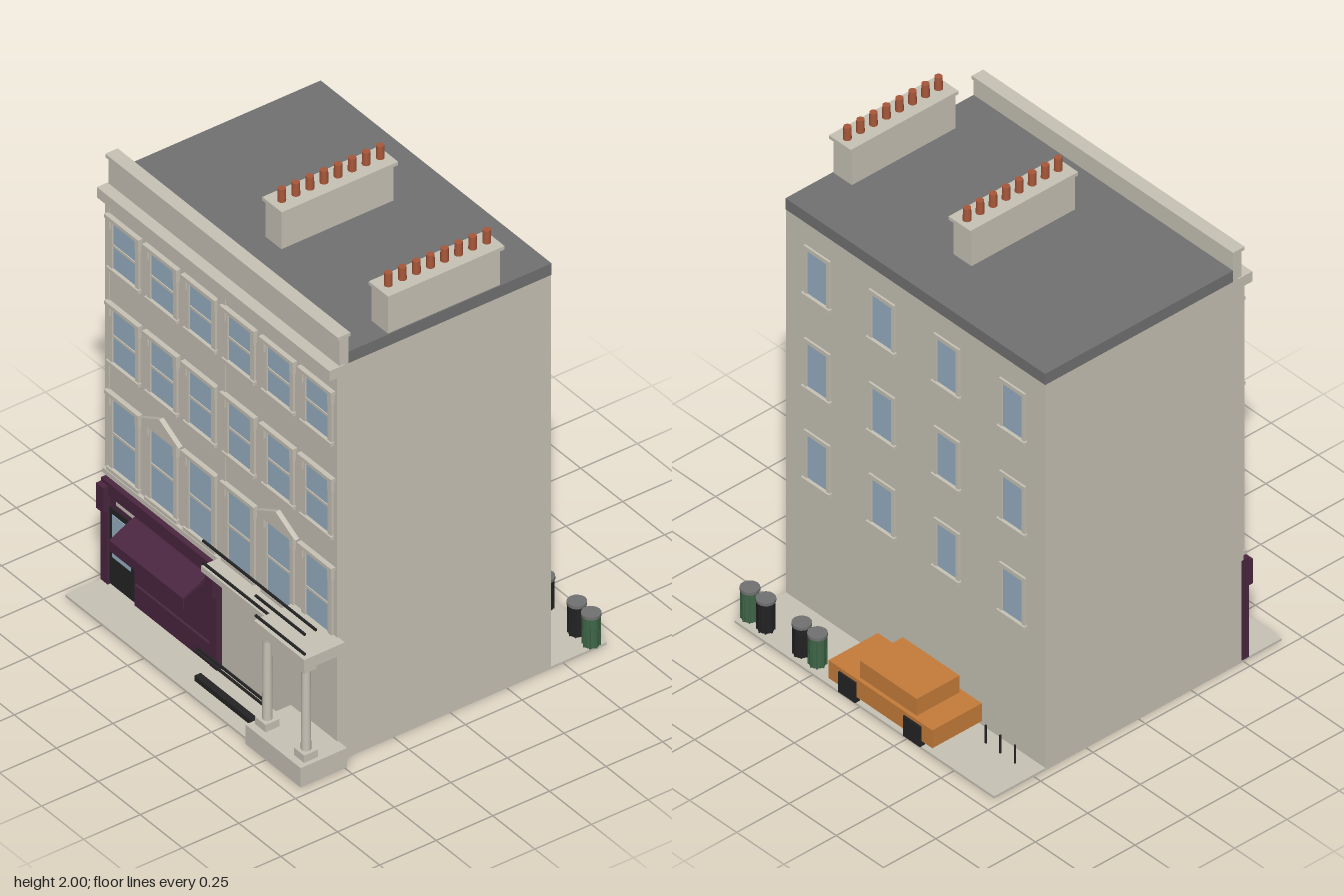
import * as THREE from 'three';

const mat = (name, color, side = THREE.FrontSide) => {
  const m = new THREE.MeshStandardMaterial({ color, side });
  m.name = name;
  return m;
};

export function createModel() {
  const model = new THREE.Group();
  model.name = 'townhouse';
  const stone = mat('stone', 0xc8c3b6);
  const slate = mat('slate', 0x727272);
  const glass = mat('glass', 0x98b0c4);
  const plum = mat('plum paint', 0x4a2640);
  const iron = mat('black iron', 0x242424);
  const orange = mat('orange paint', 0xc67d3a);
  const clay = mat('terracotta', 0xa9583a);
  const green = mat('green plastic', 0x41684a);

  const group = (name) => {
    const g = new THREE.Group();
    g.name = name;
    model.add(g);
    return g;
  };
  const add = (parent, name, geo, material) => {
    const m = new THREE.Mesh(geo, material);
    m.name = name;
    parent.add(m);
    return m;
  };
  // box given by its min and max along each axis
  const box = (parent, name, material, x0, x1, y0, y1, z0, z1) => {
    const m = add(parent, name, new THREE.BoxGeometry(x1 - x0, y1 - y0, z1 - z0), material);
    m.position.set((x0 + x1) / 2, (y0 + y1) / 2, (z0 + z1) / 2);
    return m;
  };
  const post = (parent, name, material, x, z, y0, y1, r, rTop = r, sides = 12) => {
    const m = add(parent, name, new THREE.CylinderGeometry(rTop, r, y1 - y0, sides), material);
    m.position.set(x, (y0 + y1) / 2, z);
    return m;
  };

  // Ground, walls and roof
  box(model, 'pavement', stone, -0.715, 0.66, 0, 0.01, -0.69, 0.68);
  box(model, 'walls', stone, -0.715, 0.66, 0.01, 1.725, -0.445, 0.5);
  box(model, 'roof', slate, -0.715, 0.66, 1.725, 1.775, -0.447, 0.45);
  box(model, 'parapet', stone, -0.715, 0.66, 1.725, 1.845, 0.45, 0.49);
  box(model, 'parapetCap', stone, -0.72, 0.665, 1.845, 1.86, 0.445, 0.5);
  box(model, 'cornice', stone, -0.72, 0.665, 1.685, 1.73, 0.47, 0.537);
  box(model, 'centrePilaster', stone, -0.045, 0, 0.5, 1.685, 0.49, 0.506);
  box(model, 'sidePilaster', stone, -0.715, -0.692, 0.5, 1.685, 0.49, 0.504);
  box(model, 'stringCourse', stone, -0.715, 0.66, 0.475, 0.495, 0.49, 0.515);

  // Front windows: glass, jambs, hood on two consoles, sill, optional pediment
  const gable = new THREE.Shape([[-0.115, 0], [0.115, 0], [0, 0.06]].map((p) => new THREE.Vector2(...p)));
  const frontWindow = (cx, y0, y1, pediment) => {
    const g = group('frontWindow');
    g.position.set(cx, 0, 0.5);
    box(g, 'pane', glass, -0.068, 0.068, y0, y1, -0.002, 0.002);
    const mid = (y0 + y1) / 2;
    box(g, 'meetingRail', stone, -0.068, 0.068, mid - 0.005, mid + 0.005, 0, 0.006);
    for (const s of [-1, 1]) {
      const jamb = s * 0.079, ear = s * 0.086;
      box(g, 'jamb', stone, jamb - 0.011, jamb + 0.011, y0, y1 + 0.01, -0.005, 0.009);
      box(g, 'console', stone, ear - 0.011, ear + 0.011, y1 - 0.03, y1 + 0.012, -0.005, 0.016);
    }
    box(g, 'lintel', stone, -0.09, 0.09, y1, y1 + 0.015, -0.005, 0.01);
    box(g, 'hood', stone, -0.102, 0.102, y1 + 0.012, y1 + 0.027, -0.005, 0.02);
    box(g, 'sill', stone, -0.095, 0.095, y0 - 0.015, y0, -0.005, 0.016);
    if (pediment) {
      const geo = new THREE.ExtrudeGeometry(gable, { depth: 0.02, bevelEnabled: false });
      add(g, 'pediment', geo, stone).position.y = y1 + 0.027;
    }
  };
  [[1.39, 1.59], [0.98, 1.21], [0.515, 0.82]].forEach(([y0, y1], row) => {
    [-0.6, -0.373, -0.145, 0.087, 0.32, 0.548].forEach((x, i) => {
      frontWindow(x, y0, y1, row === 2 && (i === 1 || i === 4));
    });
  });

  // Back windows
  for (const y of [0.59, 1.0, 1.415]) {
    for (const x of [-0.545, -0.197, 0.147, 0.49]) {
      const g = group('backWindow');
      g.position.set(x, y, -0.445);
      box(g, 'pane', glass, -0.053, 0.053, 0, 0.2, -0.003, 0.003);
      for (const s of [-1, 1]) box(g, 'jamb', stone, s * 0.06 - 0.008, s * 0.06 + 0.008, 0, 0.2, -0.009, 0.005);
      box(g, 'lintel', stone, -0.068, 0.068, 0.195, 0.212, -0.009, 0.005);
      box(g, 'sill', stone, -0.074, 0.074, -0.012, 0.002, -0.017, 0.005);
    }
  }

  // Chimney stacks with eight pots each
  for (const x of [-0.027, 0.607]) {
    const g = group('chimney');
    box(g, 'stack', stone, x - 0.048, x + 0.048, 1.77, 1.93, -0.222, 0.272);
    box(g, 'stackCap', stone, x - 0.058, x + 0.058, 1.93, 1.945, -0.236, 0.278);
    for (let i = 0; i < 8; i++) post(g, 'chimneyPot', clay, x, -0.2 + i * 0.0621, 1.945, 2, 0.016, 0.015);
  }

  // Shopfront
  const shop = group('shopfront');
  box(shop, 'shopPanel', plum, -0.717, -0.025, 0.01, 0.455, 0.49, 0.512);
  box(shop, 'fascia', plum, -0.717, -0.025, 0.4, 0.455, 0.5, 0.522);
  for (const x of [-0.717, -0.068]) {
    box(shop, 'shopPilaster', plum, x, x + 0.043, 0.01, 0.34, 0.5, 0.524);
    box(shop, 'shopConsole', plum, x, x + 0.043, 0.33, 0.44, 0.5, 0.543);
  }
  box(shop, 'stallRiser', plum, -0.515, -0.07, 0.01, 0.1, 0.5, 0.522);
  box(shop, 'signStrip', stone, -0.63, -0.075, 0.38, 0.4, 0.51, 0.519);
  box(shop, 'door', iron, -0.68, -0.53, 0.015, 0.35, 0.5, 0.516);
  box(shop, 'doorPane', glass, -0.655, -0.545, 0.14, 0.325, 0.512, 0.519);

  // Awning: side profile (z, y) extruded along x
  const profile = new THREE.Shape([[0.51, 0.398], [0.53, 0.398], [0.635, 0.345], [0.635, 0.3], [0.63, 0.3], [0.63, 0.338], [0.51, 0.388]]
    .map(([z, y]) => new THREE.Vector2(-z, y)));
  const awningGeo = new THREE.ExtrudeGeometry(profile, { depth: 0.44, bevelEnabled: false });
  awningGeo.rotateY(Math.PI / 2);
  add(shop, 'awning', awningGeo, plum).position.x = -0.515;

  // Porch
  const porch = group('porch');
  box(porch, 'porchBase', stone, 0.385, 0.713, 0.005, 0.09, 0.495, 0.7);
  box(porch, 'porchRoof', stone, 0.4, 0.7, 0.5, 0.545, 0.495, 0.675);
  box(porch, 'porchBeam', stone, 0.41, 0.69, 0.488, 0.5, 0.495, 0.665);
  for (const x of [0.434, 0.664]) {
    box(porch, 'columnBase', stone, x - 0.031, x + 0.031, 0.09, 0.122, 0.609, 0.671);
    post(porch, 'column', stone, x, 0.64, 0.12, 0.48, 0.019, 0.017, 16);
    box(porch, 'columnCapital', stone, x - 0.026, x + 0.026, 0.475, 0.49, 0.614, 0.666);
  }

  // Balcony and iron railings
  box(model, 'balcony', stone, -0.025, 0.4, 0.475, 0.5, 0.49, 0.592);
  const rails = group('railings');
  const rail = (x0, x1, y, z) => box(rails, 'rail', iron, x0, x1, y - 0.004, y + 0.004, z - 0.004, z + 0.004);
  rail(-0.02, 0.655, 0.612, 0.588);
  rail(-0.02, 0.4, 0.515, 0.588);
  rail(0.4, 0.695, 0.65, 0.667);
  rail(0.4, 0.695, 0.563, 0.667);
  rail(-0.025, 0.37, 0.15, 0.61);
  rail(-0.025, 0.4, 0.143, 0.622);
  box(rails, 'areaGrating', iron, -0.025, 0.37, 0.002, 0.032, 0.594, 0.622);

  // Parked car
  const car = group('car');
  box(car, 'carBody', orange, -0.385, 0.165, 0.035, 0.115, -0.688, -0.452);
  box(car, 'carCabin', orange, -0.285, 0.015, 0.11, 0.19, -0.672, -0.468);
  for (const x of [-0.282, 0.062]) {
    for (const z of [-0.683, -0.457]) box(car, 'wheel', iron, x - 0.045, x + 0.045, 0.01, 0.1, z - 0.012, z + 0.012);
  }

  // Bins: ribbed bodies with lids
  const bins = group('bins');
  [[0.277, green], [0.36, iron], [0.55, iron], [0.635, green]].forEach(([x, m]) => {
    post(bins, 'binBody', m, x, -0.64, 0.01, 0.138, 0.03, 0.034, 16);
    for (let i = 0; i < 8; i++) {
      const a = (i * Math.PI) / 4;
      post(bins, 'binRib', m, x + Math.cos(a) * 0.031, -0.64 + Math.sin(a) * 0.031, 0.01, 0.138, 0.004, 0.004, 6);
    }
    post(bins, 'binLid', slate, x, -0.64, 0.138, 0.15, 0.037, 0.037, 16);
  });

  // Bollards
  for (const x of [-0.62, -0.542, -0.465]) post(model, 'bollard', iron, x, -0.505, 0.01, 0.09, 0.004, 0.004, 8);

  return model;
}
